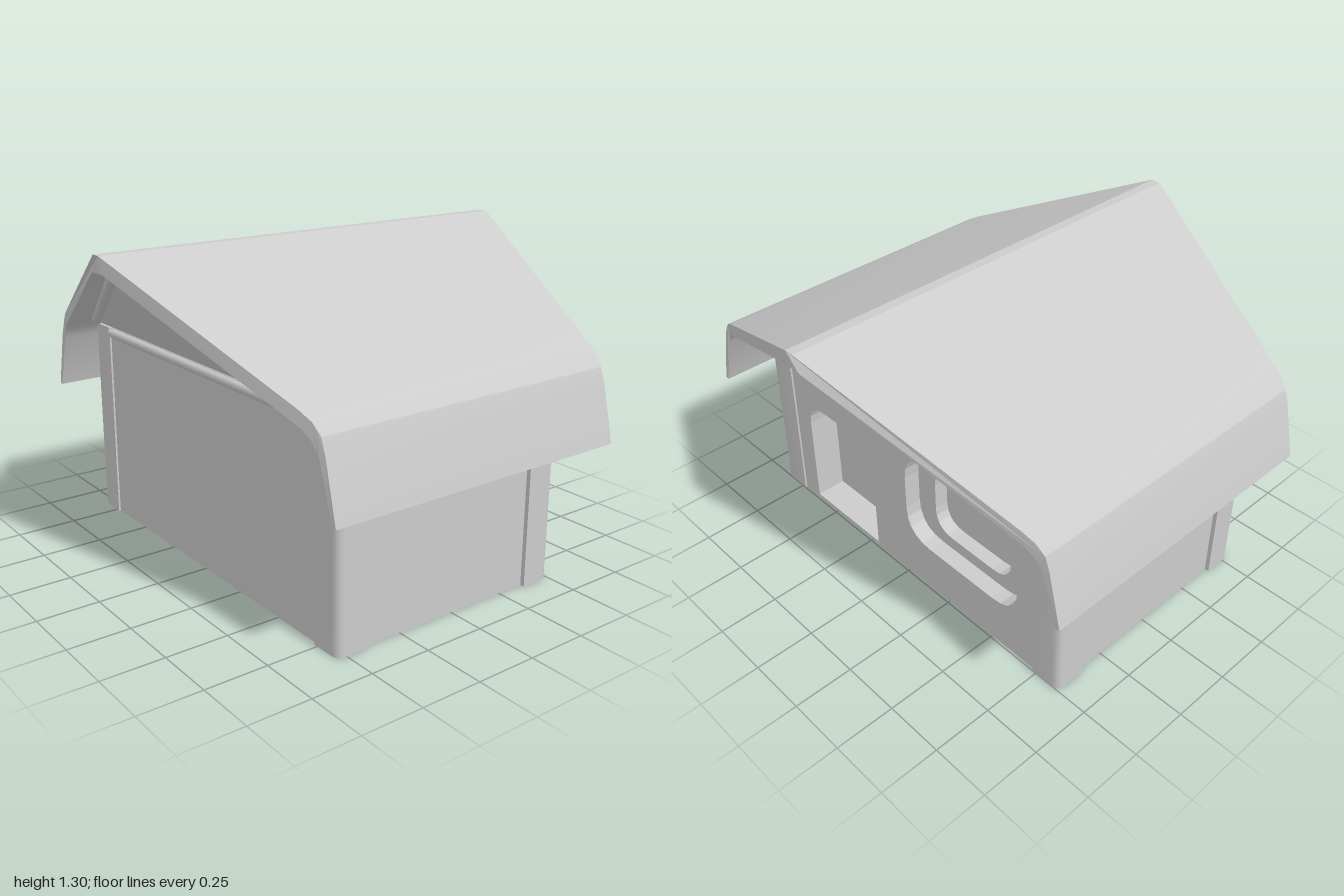
import * as THREE from 'three';
import { toCreasedNormals } from 'three/addons/utils/BufferGeometryUtils.js';

const material = new THREE.MeshStandardMaterial({ color: 0xcccccc, side: THREE.DoubleSide });
const MID = -0.02; // the house body sits slightly off the roof's centre
const TOP = 0.845;

function add(parent, geometry, name) {
  const mesh = new THREE.Mesh(geometry, material);
  mesh.name = name;
  parent.add(mesh);
  return mesh;
}

// Rounded rectangle; radii run bottom-left, bottom-right, top-right, top-left
function roundRect(C, x0, y0, x1, y1, [a, b, c, d]) {
  const s = new C();
  s.moveTo(x0 + a, y0);
  s.lineTo(x1 - b, y0);
  if (b) s.quadraticCurveTo(x1, y0, x1, y0 + b);
  s.lineTo(x1, y1 - c);
  if (c) s.quadraticCurveTo(x1, y1, x1 - c, y1);
  s.lineTo(x0 + d, y1);
  if (d) s.quadraticCurveTo(x0, y1, x0, y1 - d);
  s.lineTo(x0, y0 + a);
  if (a) s.quadraticCurveTo(x0, y0, x0 + a, y0);
  return s;
}

// Slab of the door side: shape drawn in (-z, y), thickness along x
function wallLayer(x0, x1, window) {
  const s = roundRect(THREE.Shape, -0.85, 0, 0.85, TOP, [0, 0, 0, 0]);
  s.holes.push(roundRect(THREE.Path, -0.635, 0.015, -0.21, 0.53, [0, 0, 0.04, 0.11]), window);
  const g = new THREE.ExtrudeGeometry(s, { depth: x1 - x0, bevelEnabled: false, curveSegments: 5 });
  return g.rotateY(Math.PI / 2).translate(x0, 0, 0);
}

function rod(a, b, radius) {
  return new THREE.TubeGeometry(new THREE.LineCurve3(a, b), 1, radius, 8);
}

// Solid under the roof whose two triangular gables lean outwards to the ridge
function gableGeometry() {
  const points = [];
  for (const s of [-1, 1]) {
    points.push([MID + s * 0.505, TOP, 0.845], [MID + s * 0.505, TOP, -0.845], [MID + s * 0.82, 1.245, 0]);
  }
  const g = new THREE.BufferGeometry();
  g.setAttribute('position', new THREE.Float32BufferAttribute(points.flat(), 3));
  g.setIndex([0, 2, 1, 3, 4, 5, 0, 3, 5, 0, 5, 2, 1, 2, 5, 1, 5, 4, 0, 1, 4, 0, 4, 3]);
  const flat = g.toNonIndexed();
  flat.computeVertexNormals();
  return flat;
}

// Bent sheet with drooping eaves, widened towards the ridge
function roofGeometry() {
  const outer = [[0.02, 1.305], [0.84, 0.915], [0.89, 0.885], [0.925, 0.845], [0.945, 0.79], [1, 0.56]];
  const inner = [[0.985, 0.555], [0.91, 0.785], [0.885, 0.825], [0.85, 0.855], [0.04, 1.24]];
  const half = [...outer, ...inner];
  const mirrored = half.map(([z, y]) => [-z, y]).reverse();
  const s = new THREE.Shape([...half, ...mirrored].map(([z, y]) => new THREE.Vector2(z, y)));
  const g = new THREE.ExtrudeGeometry(s, { depth: 2, bevelEnabled: false });
  g.translate(0, 0, -1).rotateY(Math.PI / 2);
  const p = g.attributes.position;
  for (let i = 0; i < p.count; i++) {
    const t = THREE.MathUtils.clamp((Math.abs(p.getZ(i)) - 0.03) / 0.89, 0, 1);
    p.setX(i, p.getX(i) * THREE.MathUtils.lerp(0.935, 0.658, t));
  }
  return toCreasedNormals(g, 0.35);
}

export function createModel() {
  const house = new THREE.Group();
  house.name = 'house';

  // Body, with the door and the stepped window sunk into its +x side
  const core = add(house, new THREE.BoxGeometry(0.89, TOP, 1.7), 'body');
  core.position.set(-0.085, TOP / 2, 0);
  const r = (v) => [v, v, v, v];
  add(house, wallLayer(0.36, 0.42, roundRect(THREE.Path, 0.1, 0.265, 0.53, 0.585, r(0.1))), 'innerDoorWall');
  add(house, wallLayer(0.42, 0.49, roundRect(THREE.Path, 0.0, 0.21, 0.635, 0.64, r(0.14))), 'outerDoorWall');

  // Corner posts with a rounded outer edge
  const postShape = roundRect(THREE.Shape, -0.068, -0.065, 0.068, 0.065, [0, 0, 0.035, 0]);
  const post = new THREE.ExtrudeGeometry(postShape, { depth: TOP, bevelEnabled: false, curveSegments: 4 });
  const postGeometry = toCreasedNormals(post, 0.6);
  [[1, -1, 0], [-1, -1, 1], [-1, 1, 2], [1, 1, 3]].forEach(([sx, sz, turn]) => {
    // shape y points to -z once the post stands up
    const mesh = add(house, postGeometry, 'cornerPost');
    mesh.rotation.set(-Math.PI / 2, 0, turn * Math.PI / 2);
    mesh.position.set(MID + sx * 0.453, 0, sz * 0.8);
  });

  add(house, gableGeometry(), 'gables');

  // Beams and leaning rafters framing each gable
  for (const sx of [-1, 1]) {
    const beam = add(house, new THREE.CapsuleGeometry(0.022, 1.45, 3, 8), 'gableBeam');
    beam.rotation.x = Math.PI / 2;
    beam.position.set(MID + sx * 0.507, 0.822, 0);
    for (const sz of [-1, 1]) {
      const foot = new THREE.Vector3(MID + sx * 0.525, 0.865, sz * 0.83);
      const peak = new THREE.Vector3(MID + sx * 0.84, 1.245, 0);
      add(house, rod(foot, peak, 0.025), 'rafter');
    }
  }

  add(house, roofGeometry(), 'roof');
  return house;
}
